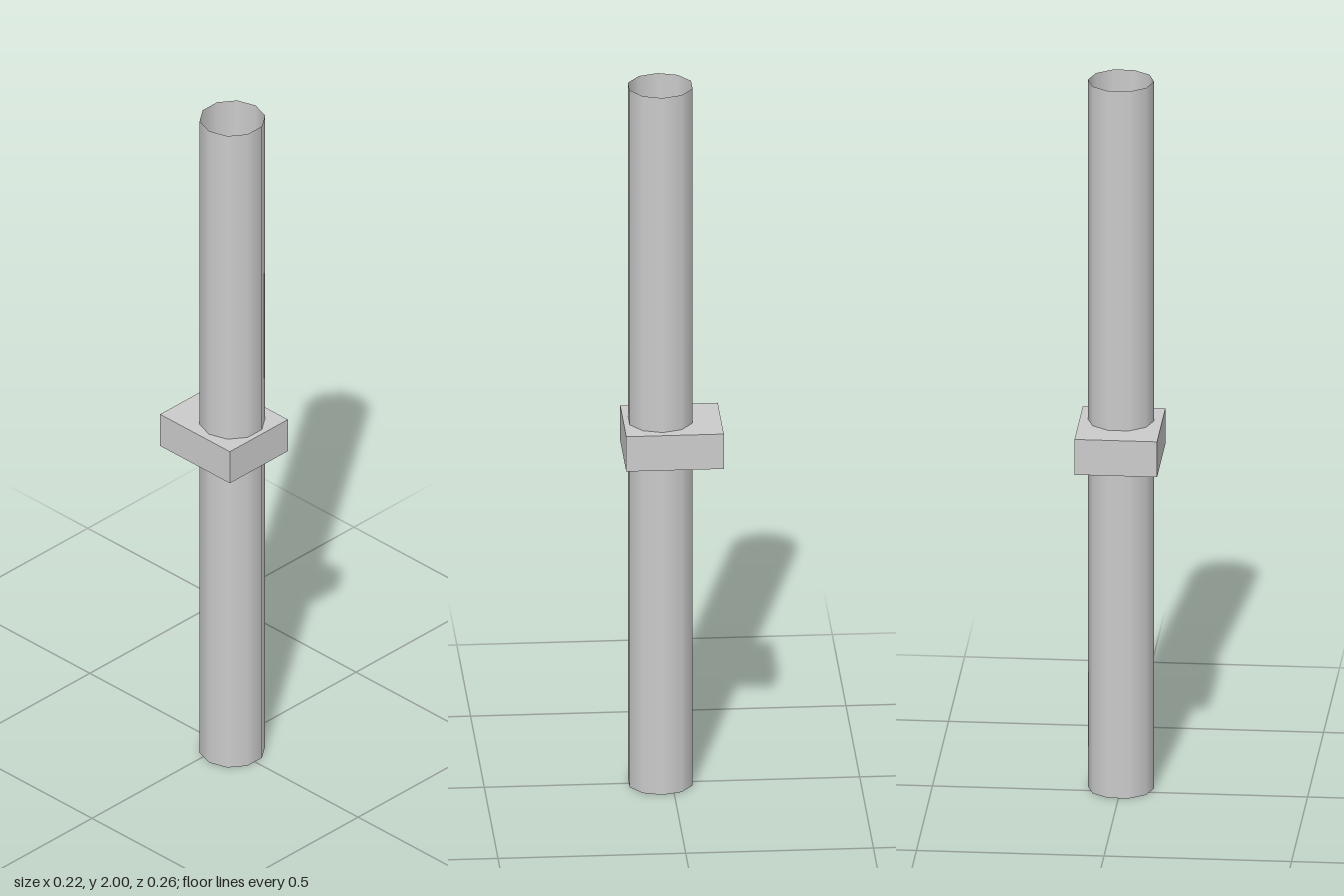
import * as THREE from 'three';

export function createModel() {
  const model = new THREE.Group();

  // Open ten-sided pipe with smooth shading, corners on the x axis, set forward of centre
  const pipe = new THREE.Mesh(
    new THREE.CylinderGeometry(0.088, 0.088, 2, 10, 1, true, Math.PI / 2),
    new THREE.MeshStandardMaterial({ color: 0xcccccc, side: THREE.DoubleSide })
  );
  pipe.name = 'pipe';
  pipe.position.set(0, 1, 0.031);
  model.add(pipe);

  // Rectangular bracket block around the middle of the pipe
  const bracket = new THREE.Mesh(
    new THREE.BoxGeometry(0.22, 0.1, 0.26),
    new THREE.MeshStandardMaterial({ color: 0xcccccc })
  );
  bracket.name = 'bracket';
  bracket.position.set(0, 0.99, 0);
  model.add(bracket);

  return model;
}
